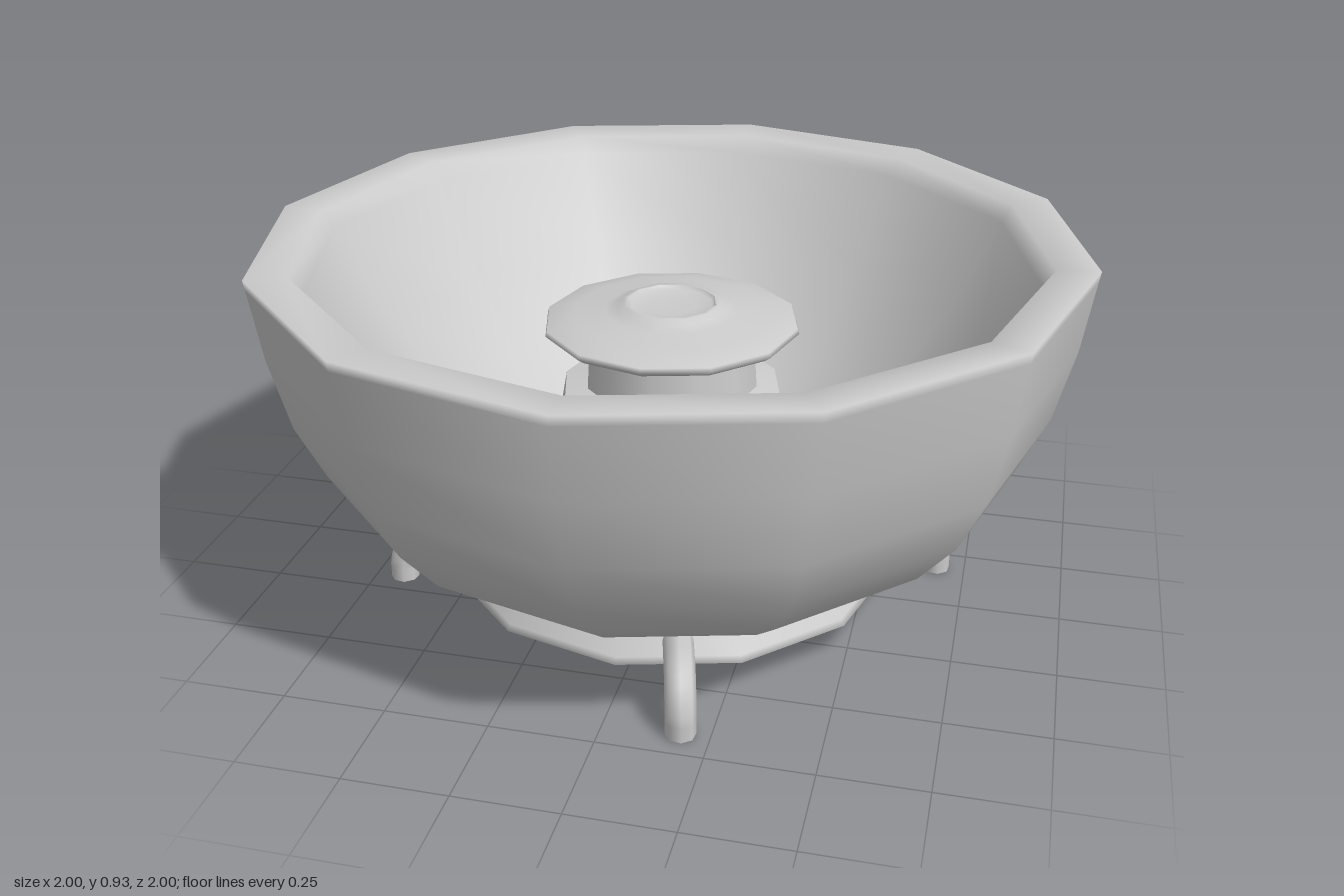
import * as THREE from 'three';

const SIDES = 12;
const material = new THREE.MeshStandardMaterial({ color: 0xcccccc, side: THREE.DoubleSide });

// Twelve-sided turned part from [radius, height] pairs
function turned(name, profile) {
  const points = profile.map(([r, y]) => new THREE.Vector2(r, y));
  const mesh = new THREE.Mesh(new THREE.LatheGeometry(points, SIDES), material);
  mesh.name = name;
  return mesh;
}

// Bent tube leg reaching outward along +z, then down to the ground
function makeLeg() {
  const leg = new THREE.Group();
  leg.name = 'leg';
  const radius = 0.036;
  const path = new THREE.CurvePath();
  const v = (y, z) => new THREE.Vector3(0, y, z);
  path.add(new THREE.LineCurve3(v(0.132, 0.5), v(0.132, 0.6)));
  path.add(new THREE.QuadraticBezierCurve3(v(0.132, 0.6), v(0.13, 0.685), v(0.04, 0.699)));
  path.add(new THREE.LineCurve3(v(0.04, 0.699), v(0, 0.699)));
  const tube = new THREE.Mesh(new THREE.TubeGeometry(path, 16, radius, 8), material);
  tube.name = 'legTube';
  const tip = new THREE.Mesh(new THREE.CircleGeometry(radius, 8), material);
  tip.name = 'legTip';
  tip.rotation.x = Math.PI / 2;
  tip.position.set(0, 0.001, 0.699);
  leg.add(tube, tip);
  return leg;
}

export function createModel() {
  const model = new THREE.Group();
  model.name = 'bowlFountain';

  // Bowl: underside, flared foot, outer wall, rim, funnel-shaped inner wall and floor
  model.add(turned('bowl', [
    [0, 0.08], [0.555, 0.08], [0.569, 0.085], [0.56, 0.1], [0.535, 0.14], [0.515, 0.173],
    [0.66, 0.22], [0.765, 0.3], [0.86, 0.415], [0.925, 0.55], [0.97, 0.73], [0.996, 0.905],
    [1, 0.93], [0.9, 0.925], [0.875, 0.88], [0.74, 0.65], [0.58, 0.44], [0.42, 0.29],
    [0.385, 0.275], [0.325, 0.275],
  ]));

  // Central column with a shoulder, and the neck under the cap
  model.add(turned('column', [[0.325, 0.275], [0.3, 0.4], [0.272, 0.55]]));
  model.add(turned('columnShoulder', [[0.272, 0.55], [0.215, 0.56]]));
  model.add(turned('neck', [[0.215, 0.56], [0.205, 0.7]]));

  // Cap with a raised central lip around a shallow dish
  model.add(turned('cap', [
    [0.205, 0.69], [0.3, 0.698], [0.316, 0.71], [0.312, 0.722],
    [0.24, 0.738], [0.165, 0.746], [0.135, 0.755], [0.12, 0.766], [0.11, 0.766],
  ]));
  model.add(turned('dish', [[0.11, 0.766], [0.102, 0.757], [0.06, 0.753], [0, 0.752]]));

  // Four legs, each centred on a flat of the foot
  for (let i = 0; i < 4; i++) {
    const leg = makeLeg();
    leg.rotation.y = Math.PI / 12 + i * Math.PI / 2;
    model.add(leg);
  }
  return model;
}
